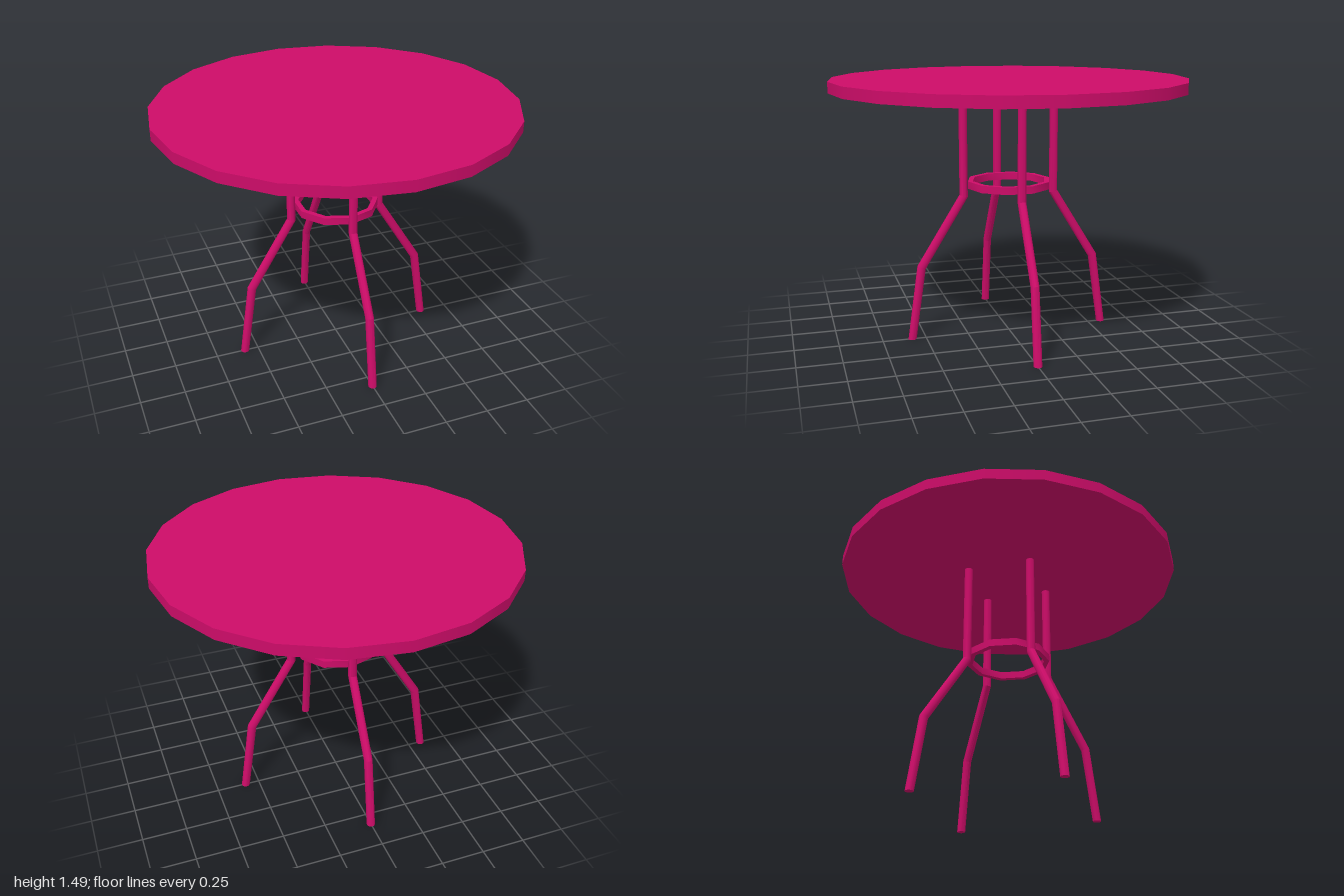
import * as THREE from 'three';
import { toCreasedNormals } from 'three/addons/utils/BufferGeometryUtils.js';

const material = new THREE.MeshStandardMaterial({ color: 0xcc0c68 });

function mesh(name, geometry) {
  const m = new THREE.Mesh(geometry, material);
  m.name = name;
  return m;
}

// Bent tube: each ring of a cylinder is moved to a bend and tilted to its mitre.
function legGeometry() {
  const bends = [ // x, y, mitre slope
    [0.267, 1.44, 0],
    [0.267, 0.83, 0.29],
    [0.518, 0.425, 0.36],
    [0.58, 0, 0],
  ];
  const geometry = new THREE.CylinderGeometry(0.024, 0.024, 3, 16, 3);
  const pos = geometry.attributes.position;
  for (let i = 0; i < pos.count; i++) {
    const [x, y, slope] = bends[Math.round(1.5 - pos.getY(i))];
    const dx = pos.getX(i);
    pos.setXYZ(i, x + dx, y + dx * slope, pos.getZ(i));
  }
  return toCreasedNormals(geometry, 0.405);
}

export function createModel() {
  const table = new THREE.Group();
  table.name = 'roundTable';

  // Twenty-sided top
  const top = mesh('tableTop', new THREE.CylinderGeometry(1, 1, 0.062, 20));
  top.position.y = 1.46;
  table.add(top);

  // Four splayed legs
  const leg = legGeometry();
  ['leftLeg', 'backLeg', 'rightLeg', 'frontLeg'].forEach((name, i) => {
    const m = mesh(name, leg);
    m.rotation.y = i * Math.PI / 2;
    table.add(m);
  });

  // Ten-sided brace ring with a rectangular section
  const section = [[0.242, 0.87], [0.242, 0.912], [0.212, 0.912], [0.212, 0.87], [0.242, 0.87]]
    .map(([r, y]) => new THREE.Vector2(r, y));
  table.add(mesh('braceRing', toCreasedNormals(new THREE.LatheGeometry(section, 10), 0.7)));

  return table;
}
